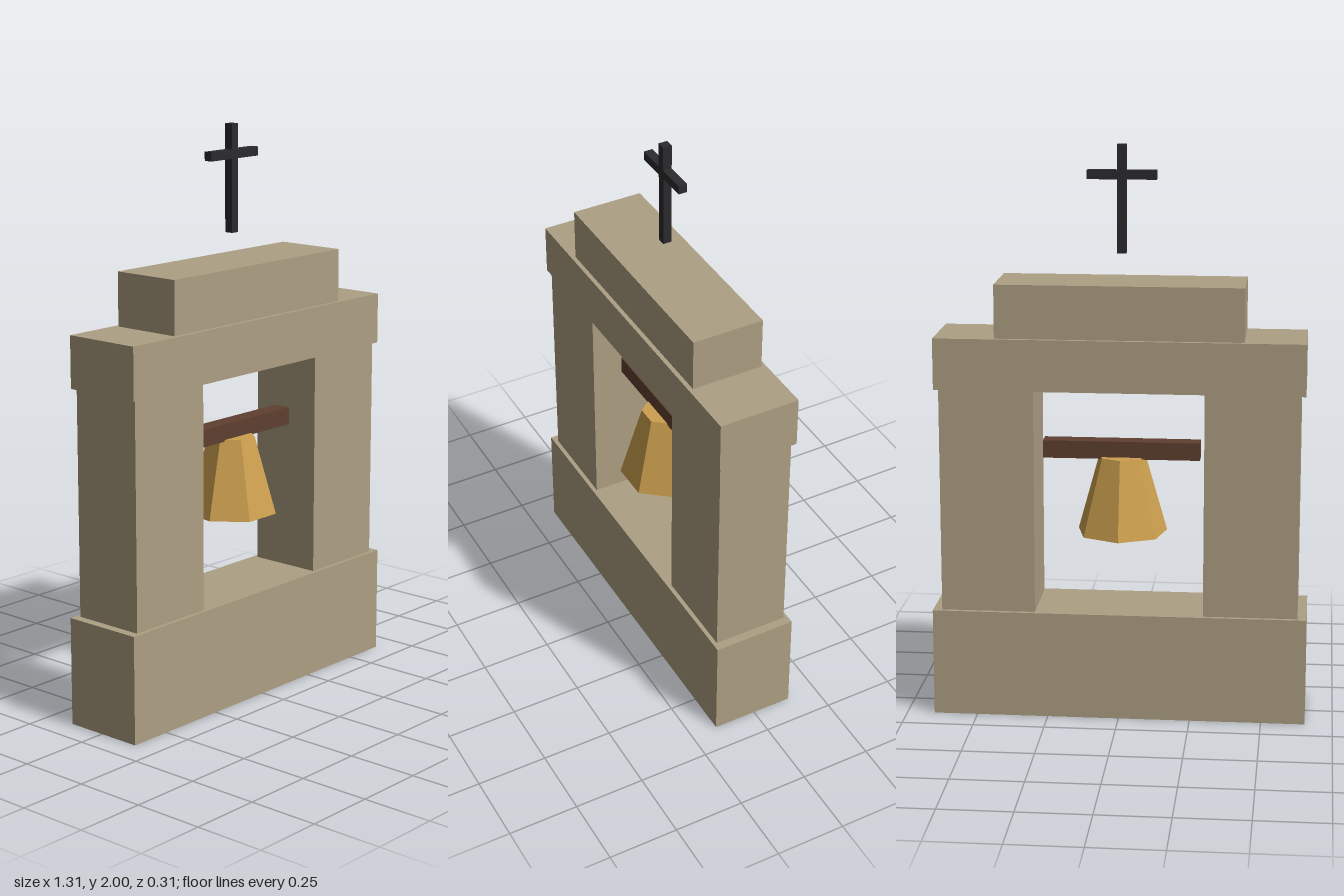
import * as THREE from 'three';

const stone = new THREE.MeshStandardMaterial({ color: 0xad9f83 });
stone.name = 'stone';
const wood = new THREE.MeshStandardMaterial({ color: 0x5f4030 });
wood.name = 'wood';
const brass = new THREE.MeshStandardMaterial({ color: 0xcda04f, flatShading: true });
brass.name = 'brass';
const iron = new THREE.MeshStandardMaterial({ color: 0x2b2a2d });
iron.name = 'iron';

export function createModel() {
  const model = new THREE.Group();
  model.name = 'bellArch';

  const add = (name, geometry, material, x, y) => {
    const mesh = new THREE.Mesh(geometry, material);
    mesh.name = name;
    mesh.position.set(x, y, 0.0065);
    model.add(mesh);
    return mesh;
  };
  // Box spanning heights y0 to y1, centred on x
  const block = (name, material, width, y0, y1, depth, x = 0) =>
    add(name, new THREE.BoxGeometry(width, y1 - y0, depth), material, x, (y0 + y1) / 2);

  // Stone arch
  block('base', stone, 1.307, 0, 0.379, 0.295);
  block('leftPillar', stone, 0.328, 0.379, 1.168, 0.265, 0.458);
  block('rightPillar', stone, 0.328, 0.379, 1.168, 0.265, -0.458);
  block('lintel', stone, 1.276, 1.168, 1.348, 0.286);
  block('topBlock', stone, 0.854, 1.348, 1.534, 0.255);

  // Beam with a seven-sided bell, a corner towards the back
  block('beam', wood, 0.548, 0.911, 0.973, 0.062);
  const bell = add('bell', new THREE.CylinderGeometry(0.083, 0.1605, 0.273, 7), brass, 0, 0.7805);
  bell.rotation.y = Math.PI;

  // Cross floating above the top block
  block('crossPost', iron, 0.031, 1.63, 2, 0.031);
  block('crossArm', iron, 0.238, 1.882, 1.913, 0.031);

  return model;
}
